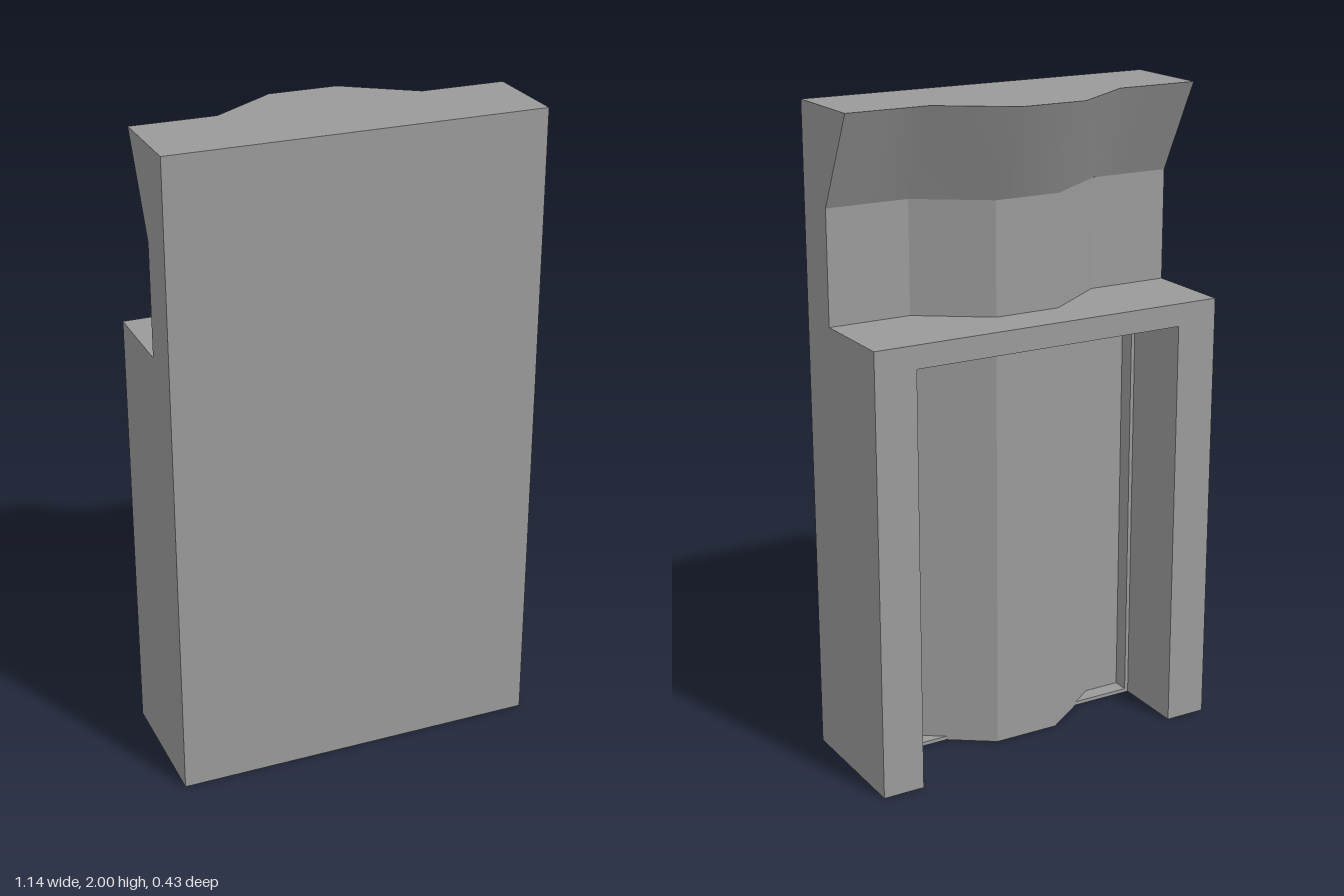
import * as THREE from 'three';

const W = 0.571, FRONT = 0.214, BACK = -0.214, STEP = 0.0715;
const INNER = 0.44, LEDGE = 1.37, POCKET = 1.3, BEND = 1.714, TOP = 2;
const RIB = 0.012, RIB_BACK = 0.02;

const material = new THREE.MeshStandardMaterial({ color: 0x9a9a9a, side: THREE.DoubleSide });

function addMesh(parent, name, geometry) {
  const mesh = new THREE.Mesh(geometry, material);
  mesh.name = name;
  parent.add(mesh);
}

// Box given by its limits; openBottom leaves out the underside
function block(x0, x1, y0, y1, z0, z1, openBottom = false) {
  const g = new THREE.BoxGeometry(x1 - x0, y1 - y0, z1 - z0);
  g.translate((x0 + x1) / 2, (y0 + y1) / 2, (z0 + z1) / 2);
  if (openBottom) {
    const index = Array.from(g.index.array);
    index.splice(18, 6);
    g.setIndex(index);
    g.clearGroups();
  }
  return g;
}

// Rear outline of the slab, with a faceted bulge in the middle
const REAR = [
  [-W, STEP], [-INNER, STEP], [-0.312, STEP], [-0.105, -STEP],
  [0.105, -STEP], [0.312, STEP], [INNER, STEP], [W, STEP],
];
const rearAt = (y, dz) => REAR.map(([x, z]) => [x, y, z + dz]);
const bottomRear = rearAt(0, 0);
const bendRear = rearAt(BEND, 0);
const topRear = rearAt(TOP, BACK + STEP);

// Flat faces of the slab: front, ends, top, straight part of the back
function slabGeometry() {
  const pos = [];
  const quad = (a, b, c, d) => pos.push(...a, ...b, ...c, ...a, ...c, ...d);
  const last = REAR.length - 1;

  quad([-W, 0, FRONT], [W, 0, FRONT], [W, TOP, FRONT], [-W, TOP, FRONT]);
  for (const [lo, hi] of [[bottomRear, bendRear], [bendRear, topRear]]) {
    const y0 = lo[0][1], y1 = hi[0][1];
    quad(lo[0], [-W, y0, FRONT], [-W, y1, FRONT], hi[0]);
    quad(lo[last], hi[last], [W, y1, FRONT], [W, y0, FRONT]);
  }
  for (let i = 0; i < last; i++) {
    const x0 = REAR[i][0], x1 = REAR[i + 1][0];
    quad(bottomRear[i], bendRear[i], bendRear[i + 1], bottomRear[i + 1]);
    quad(topRear[i], [x0, TOP, FRONT], [x1, TOP, FRONT], topRear[i + 1]);
    // The underside stays open over the two outer ends
    if (i > 0 && i < last - 1) {
      quad(bottomRear[i], bottomRear[i + 1], [x1, 0, FRONT], [x0, 0, FRONT]);
    }
  }
  const g = new THREE.BufferGeometry();
  g.setAttribute('position', new THREE.Float32BufferAttribute(pos, 3));
  g.computeVertexNormals();
  return g;
}

// Leaning upper back, smooth across the bulge
function leaningBackGeometry() {
  const n = REAR.length, index = [];
  for (let i = 0; i < n - 1; i++) {
    index.push(i, n + i, n + i + 1, i, n + i + 1, i + 1);
  }
  const g = new THREE.BufferGeometry();
  const pos = [...bendRear, ...topRear].flat();
  g.setAttribute('position', new THREE.Float32BufferAttribute(pos, 3));
  g.setIndex(index);
  g.computeVertexNormals();
  return g;
}

export function createModel() {
  const model = new THREE.Group();
  model.name = 'panel';

  addMesh(model, 'slab', slabGeometry());
  addMesh(model, 'leaningBack', leaningBackGeometry());

  // Rear frame around a pocket that is open at the back and the bottom
  const frame = new THREE.Group();
  frame.name = 'rearFrame';
  model.add(frame);
  addMesh(frame, 'lintel', block(-INNER, INNER, POCKET, LEDGE, BACK, STEP));

  // Thin ribs line the pocket where it meets the slab
  addMesh(frame, 'topRib', block(-INNER, INNER, POCKET - RIB, POCKET, RIB_BACK, STEP));
  addMesh(frame, 'bottomRib', block(-INNER, INNER, 0, RIB, RIB_BACK, STEP));
  for (const [side, s] of [['left', 1], ['right', -1]]) {
    const span = (a, b) => (s > 0 ? [a, b] : [-b, -a]);
    addMesh(frame, side + 'Post', block(...span(INNER, W), 0, LEDGE, BACK, STEP, true));
    addMesh(frame, side + 'Rib', block(...span(INNER - RIB, INNER), RIB, POCKET - RIB, RIB_BACK, STEP));
  }
  return model;
}
